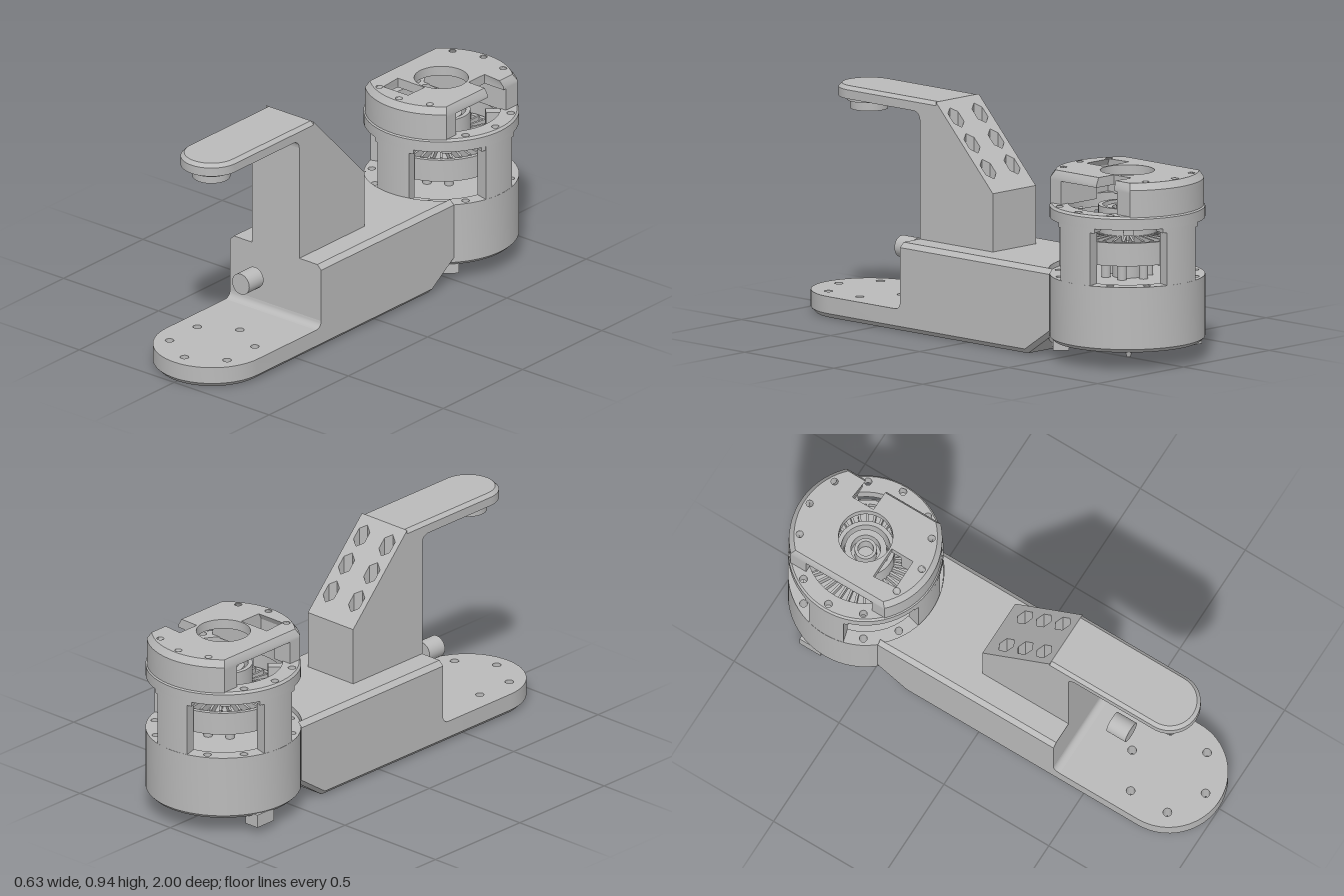
import * as THREE from 'three';
import { toCreasedNormals } from 'three/addons/utils/BufferGeometryUtils.js';

const grey = new THREE.MeshStandardMaterial({ color: 0xbababa });
grey.name = 'machined grey';

// Points of an arc in plan; angle 0 points to the front (+z)
function arc(cx, cz, r, a0, a1, n) {
  return Array.from({ length: n + 1 }, (_, i) => {
    const a = a0 + (a1 - a0) * i / n;
    return [cx + r * Math.sin(a), cz + r * Math.cos(a)];
  });
}
const circle = (x, z, r, n = 16) => arc(x, z, r, 0, Math.PI * 2, n).slice(0, n);
const polar = (r, a) => [r * Math.sin(a), r * Math.cos(a)];
const ringHoles = (count, r, size, start = 0) => Array.from({ length: count }, (_, i) =>
  circle(...polar(r, start + i * Math.PI * 2 / count), size, 12));

const toVectors = pts => pts.map(([x, z]) => new THREE.Vector2(x, -z));

// Plan outline raised through levels [y or y(z), inset]; the inset pulls the rim towards a spine
function prism(name, outline, holes, levels, rim = {}) {
  const { r = 1, z0 = 0, z1 = 0, min = r * 0.97 } = rim;
  const shape = new THREE.Shape(toVectors(outline));
  holes.forEach(h => shape.holes.push(new THREE.Path(toVectors(h))));
  const steps = levels.length - 1;
  const geo = new THREE.ExtrudeGeometry(shape, { depth: steps, steps, bevelEnabled: false });
  const p = geo.attributes.position;
  for (let i = 0; i < p.count; i++) {
    let x = p.getX(i), z = -p.getY(i);
    const [y, inset = 0] = levels[Math.round(p.getZ(i))];
    const c = THREE.MathUtils.clamp(z, z0, z1);
    const s = Math.hypot(x, z - c) > min ? 1 - inset / r : 1;
    x *= s;
    z = c + (z - c) * s;
    p.setXYZ(i, x, typeof y === 'function' ? y(z) : y, z);
  }
  return mesh(name, toCreasedNormals(geo, 0.5));
}

function mesh(name, geo, x = 0, y = 0, z = 0) {
  const m = new THREE.Mesh(geo, grey);
  m.name = name;
  m.position.set(x, y, z);
  return m;
}
const disc = (name, r0, r1, y0, y1, x = 0, z = 0) =>
  mesh(name, new THREE.CylinderGeometry(r1, r0, y1 - y0, 48), x, (y0 + y1) / 2, z);

// Concave fillet running across x in the corner (z, y); up is +1 or -1
function fillet(name, width, z, y, r, up) {
  const s = new THREE.Shape();
  s.moveTo(0, 0);
  s.lineTo(r, 0);
  for (let i = 1; i <= 6; i++) {
    const a = i / 6 * Math.PI / 2;
    s.lineTo(r - r * Math.sin(a), up * (r - r * Math.cos(a)));
  }
  const geo = new THREE.ExtrudeGeometry(s, { depth: width, bevelEnabled: false });
  geo.translate(0, 0, -width / 2).rotateY(-Math.PI / 2);
  return mesh(name, toCreasedNormals(geo, 0.5), 0, y, z);
}

function createBase() {
  const g = new THREE.Group();
  g.name = 'base';
  const W = 0.24, Q = Math.PI / 2;
  const bolts = [-0.07, 0.07].flatMap(x => [0.03, 0.12, 0.21].map(z => [x, z]));
  const long = { r: W, z0: -9, z1: 9 };
  // Rounded foot plate with bolt circle
  g.add(prism('footPlate', [[-W, 0.36], ...arc(0, 0.76, W, -Q, Q, 32), [W, 0.36]],
    ringHoles(6, 0.175, 0.018).map(h => h.map(([x, z]) => [x, z + 0.76])),
    [[0, 0.02], [0.02], [0.09]], { r: W, z0: -9, z1: 0.76 }));
  // Main body and its rear end, hollowed to meet the round housing
  g.add(prism('body', [[-W, 0.36], [W, 0.36], [W, -0.34], [-W, -0.34]],
    bolts.map(([x, z]) => circle(x, z, 0.019)),
    [[0, 0.02], [0.02], [0.345], [0.365, 0.02]], long));
  const a = Math.asin(W / 0.317);
  const slope = z => (-0.34 - z) * 0.67;
  g.add(prism('bodyRear', [[W, -0.34], [-W, -0.34], ...arc(0, -0.685, 0.317, -a, a, 20)], [],
    [[slope, 0.02], [z => slope(z) + 0.02], [0.345], [0.365, 0.02]], long));
  g.add(fillet('footFillet', 2 * W, 0.36, 0.09, 0.03, 1));
  // Post with sloped back and hexagonal bolt pockets
  const P = 0.125;
  g.add(prism('slopedPost', [[-P, 0.27], [P, 0.27], [P, -0.05], [-P, -0.05]],
    bolts.map(([x, z]) => circle(x, z, 0.034, 6)),
    [[0.365], [z => 0.605 + (z + 0.05) * 1.047]]));
  g.add(mesh('postFront', new THREE.BoxGeometry(2 * P, 0.525, 0.09), 0, 0.6275, 0.315));
  g.add(prism('topArm', [[-P, 0.27], ...arc(0, 0.765, P, -Q, Q, 28), [P, 0.27]], [],
    [[0.888], [0.925], [0.94, 0.015]], { r: P, z0: -9, z1: 0.765 }));
  g.add(fillet('armFillet', 2 * P, 0.36, 0.888, 0.035, -1));
  // Pad under the arm tip and the loose pin in front of the body
  g.add(disc('padFlange', 0.09, 0.09, 0.87, 0.89, 0, 0.765));
  g.add(disc('pad', 0.077, 0.077, 0.835, 0.87, 0, 0.765));
  const pin = mesh('frontPin', new THREE.CylinderGeometry(0.045, 0.045, 0.09, 32), 0, 0.29, 0.535);
  pin.rotation.x = Q;
  g.add(pin);
  return g;
}

function createHousing() {
  const g = new THREE.Group();
  g.name = 'roundHousing';
  g.position.z = -0.685;
  const R = 0.315, rim = { r: R }, outer = circle(0, 0, R, 64);
  const bolts = ringHoles(12, 0.285, 0.016);
  // Drum, pillars between the four windows, and top flange
  g.add(prism('drum', outer, [circle(0, 0, 0.255, 48), ...bolts], [[0.075, 0.015], [0.09], [0.345]], rim));
  g.add(disc('drumFloor', 0.256, 0.256, 0.1, 0.335));
  g.add(prism('bottomPlate', circle(0, 0, 0.215, 48),
    [...ringHoles(10, 0.165, 0.018), ...ringHoles(5, 0.11, 0.01)], [[0.075], [0.1]]));
  for (let i = 0; i < 4; i++) {
    const a = i * Math.PI / 2;
    const sector = w => [...arc(0, 0, R - 0.001, a - w, a + w, 10), ...arc(0, 0, 0.257, a + w, a - w, 10)];
    g.add(prism('pillar', sector(0.265), [], [[0.345], [0.58]]));
    g.add(prism('pillarHead', sector(0.33), [], [[0.562], [0.58]]));
    const lug = mesh('innerLug', new THREE.BoxGeometry(0.04, 0.07, 0.07), 0, 0.58, 0);
    [lug.position.x, lug.position.z] = polar(0.215, a + Math.PI / 4);
    lug.rotation.y = a + Math.PI / 4;
    g.add(lug);
  }
  g.add(prism('topFlange', outer, [circle(0, 0, 0.24, 48), ...bolts], [[0.58], [0.625], [0.635, 0.008]], rim));

  // Rotor ring with radial fins on a central shaft
  g.add(prism('rotorRing', circle(0, 0, 0.25, 56), [circle(0, 0, 0.232, 56)], [[0.42], [0.515]]));
  g.add(disc('rotorCore', 0.235, 0.235, 0.445, 0.49));
  for (let i = 0; i < 36; i++) {
    const a = i * Math.PI / 18;
    const [x, z] = polar(0.165, a);
    const fin = mesh('rotorFin', new THREE.BoxGeometry(0.01, 0.1, 0.14), x, 0.47, z);
    fin.rotation.y = a;
    g.add(fin);
  }
  g.add(disc('shaft', 0.06, 0.06, 0.335, 0.56));
  for (let i = 0; i < 6; i++) {
    const [x, z] = polar(0.09, i * Math.PI / 3);
    g.add(disc('shaftPost', 0.018, 0.018, 0.335, 0.45, x, z));
  }
  g.add(prism('bearingOuter', circle(0, 0, 0.118, 40), [circle(0, 0, 0.1, 40)], [[0.5], [0.63]]));
  g.add(prism('bearingInner', circle(0, 0, 0.085, 40), [circle(0, 0, 0.06, 40)], [[0.5], [0.62]]));
  g.add(prism('bearingHub', circle(0, 0, 0.045, 32), [circle(0, 0, 0.032, 32)], [[0.5], [0.625]]));

  // Cap: two legs bridged by a notched roof
  const C = 0.31, X = 0.215, c = Math.asin(X / C), PI = Math.PI;
  const front = arc(0, 0, C, -c, c, 20), back = arc(0, 0, C, PI - c, PI + c, 20);
  const frontBolts = [11, 0, 1].map(i => bolts[i]), backBolts = [5, 6, 7].map(i => bolts[i]);
  g.add(prism('capFrontLeg', [...front, [X, 0.165], [0.01, 0.165], [0.01, 0.235], [-0.13, 0.235],
    [-0.13, 0.165], [-X, 0.165]], frontBolts, [[0.63], [0.73]]));
  g.add(prism('capBackLeg', [...back, [-X, -0.15], [X, -0.15]], backBolts, [[0.63], [0.73]]));
  g.add(prism('capRoof', [...front, [X, -0.035], [0.115, -0.035], [0.115, -0.135], [X, -0.135], ...back],
    [circle(0, 0, 0.11, 40), [[-0.13, 0.118], [0.01, 0.118], [0.01, 0.235], [-0.13, 0.235]],
      ...frontBolts, ...backBolts],
    [[0.73], [0.743], [0.77, 0.02]], { r: C, min: 0.21 }));

  // Small blocks and a pin under the drum
  g.add(mesh('sideBlock', new THREE.BoxGeometry(0.065, 0.055, 0.1), -0.272, 0.058, -0.075));
  const block = mesh('frontBlock', new THREE.BoxGeometry(0.09, 0.055, 0.065), 0.19, 0.063, 0.19);
  block.rotation.y = PI / 4;
  g.add(block);
  g.add(disc('bottomPin', 0.008, 0.016, 0.055, 0.085, 0.2, -0.2));
  return g;
}

export function createModel() {
  const model = new THREE.Group();
  model.name = 'actuatorBracket';
  model.add(createBase(), createHousing());
  return model;
}
